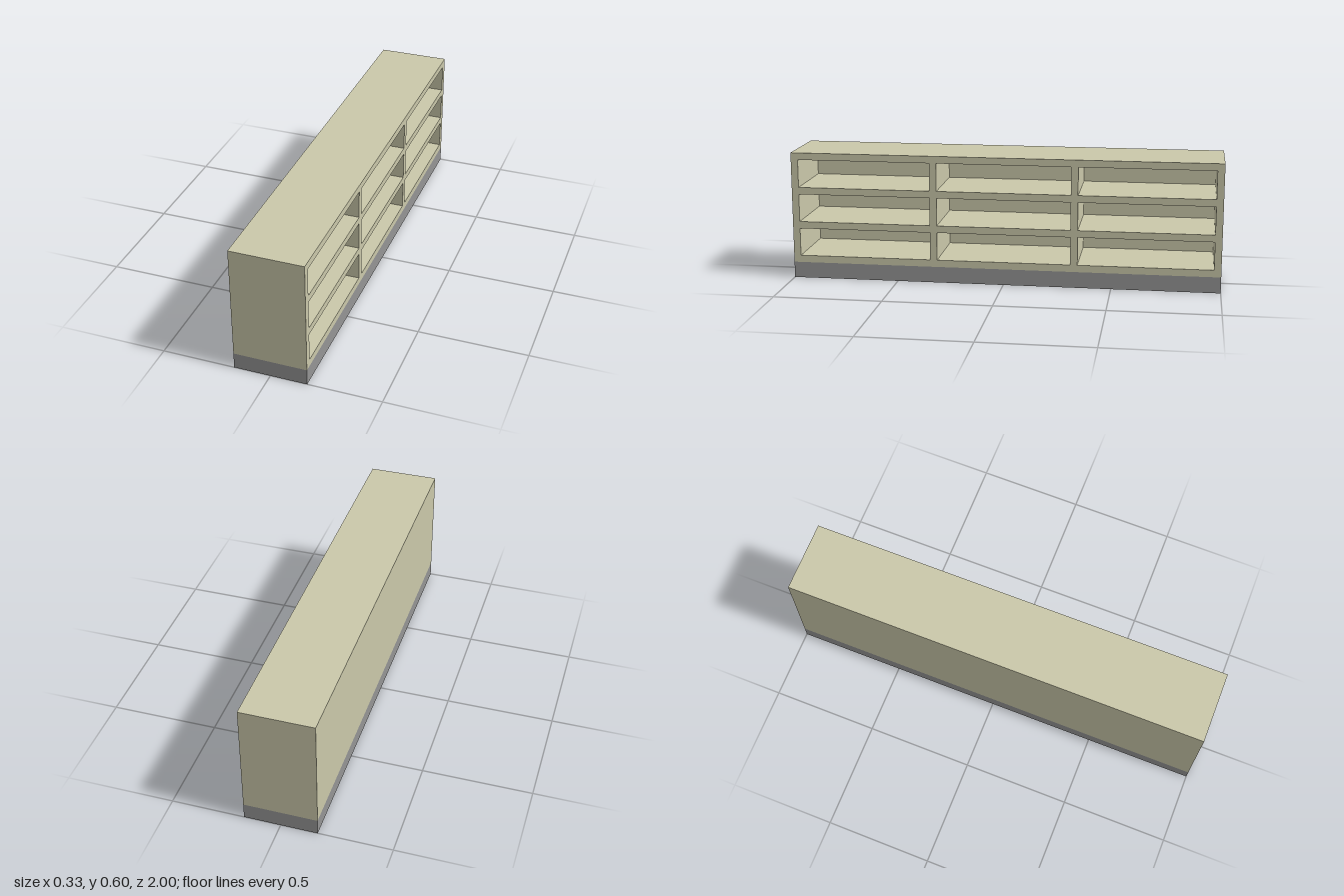
import * as THREE from 'three';

const LENGTH = 2, DEPTH = 0.334, HEIGHT = 0.6, BASE = 0.075;
const BOARD = 0.033, BACK = 0.002;
const COLUMNS = 3, ROWS = 3;

export function createModel() {
  const group = new THREE.Group();
  const cream = new THREE.MeshStandardMaterial({ color: 0xcac8aa });
  const grey = new THREE.MeshStandardMaterial({ color: 0x949494 });

  const add = (name, geometry, material, x, y) => {
    const mesh = new THREE.Mesh(geometry, material);
    mesh.name = name;
    mesh.position.set(x, y, 0);
    group.add(mesh);
  };
  const trace = (path, x, y, w, h) => {
    path.moveTo(x, y).lineTo(x + w, y).lineTo(x + w, y + h).lineTo(x, y + h).closePath();
    return path;
  };

  // Shelf frame: one outline with a grid of compartments, open towards +x
  const bodyHeight = HEIGHT - BASE;
  const cellW = (LENGTH - BOARD * (COLUMNS + 1)) / COLUMNS;
  const cellH = (bodyHeight - BOARD * (ROWS + 1)) / ROWS;
  const outline = trace(new THREE.Shape(), -LENGTH / 2, 0, LENGTH, bodyHeight);
  for (let c = 0; c < COLUMNS; c++) {
    for (let r = 0; r < ROWS; r++) {
      outline.holes.push(trace(new THREE.Path(),
        -LENGTH / 2 + BOARD + c * (cellW + BOARD),
        BOARD + r * (cellH + BOARD), cellW, cellH));
    }
  }
  const frame = new THREE.ExtrudeGeometry(outline, { depth: DEPTH - BACK, bevelEnabled: false });
  frame.rotateY(Math.PI / 2);
  add('shelfFrame', frame, cream, -DEPTH / 2 + BACK, BASE);

  // Thin panel closing the compartments
  add('backPanel', new THREE.BoxGeometry(BACK, bodyHeight, LENGTH), cream,
    -DEPTH / 2 + BACK / 2, BASE + bodyHeight / 2);

  // Plinth
  add('base', new THREE.BoxGeometry(DEPTH, BASE, LENGTH), grey, 0, BASE / 2);

  return group;
}
